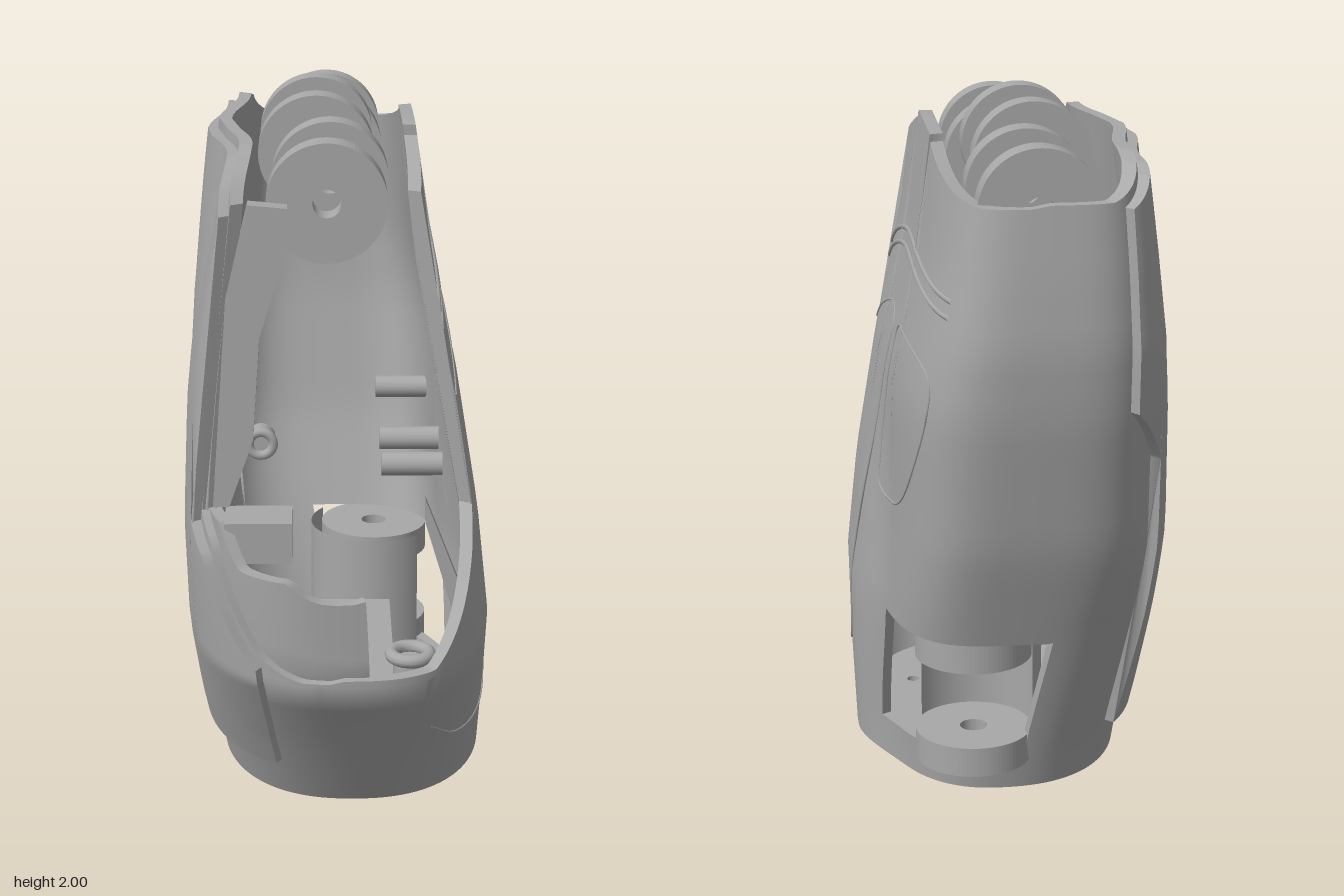
import * as THREE from 'three';
import { toCreasedNormals } from 'three/addons/utils/BufferGeometryUtils.js';

const { smoothstep, lerp, clamp, degToRad } = THREE.MathUtils;
const grey = new THREE.MeshStandardMaterial({ color: 0xa8a8a8, side: THREE.DoubleSide });
grey.name = 'plain grey';

// Hand outline by height: y, back of hand x, palm x, rear z, front z
const OUTLINE = [
  [0, -0.35, 0.44, -0.53, 0.54], [0.25, -0.39, 0.45, -0.59, 0.69],
  [0.5, -0.415, 0.452, -0.66, 0.855], [0.8, -0.425, 0.42, -0.76, 0.87],
  [1.2, -0.41, 0.355, -0.84, 0.86], [1.4, -0.395, 0.31, -0.86, 0.86],
  [1.6, -0.37, 0.27, -0.85, 0.86], [1.95, -0.325, 0.225, -0.82, 0.86],
];

// Piecewise linear lookup in [key, value] pairs with rising keys
function lookup(pairs, k, col = 1) {
  if (k <= pairs[0][0]) return pairs[0][col];
  for (let i = 1; i < pairs.length; i++) {
    const a = pairs[i - 1], b = pairs[i];
    if (k <= b[0]) return a[col] + (b[col] - a[col]) * (k - a[0]) / (b[0] - a[0]);
  }
  return pairs[pairs.length - 1][col];
}

function section(y) {
  const [xn, xp, zb, zf] = [1, 2, 3, 4].map(c => lookup(OUTLINE, y, c));
  return { cx: (xn + xp) / 2, hx: (xp - xn) / 2, cz: (zb + zf) / 2, hz: (zf - zb) / 2 };
}
// Squareness of the section: an ellipse at the wrist, boxier upwards and to the rear
const squareness = (y, v) => lerp(2.3, v < 0 ? 3.9 : 2.8, smoothstep(y, 0, 0.8));

// Surface point from unit section coordinates u (x) and v (z), offset o outwards
function place(u, v, y, o) {
  const s = section(y);
  const z = s.cz + (s.hz + o) * v;
  const hollow = u > 0 ? 1 - 0.16 * smoothstep(-z, 0.02, 0.36) * (1 - smoothstep(y, 0.7, 1.35)) : 1;
  const knuckles = 0.05 * smoothstep(z, -0.15, 0.4) + 0.018 * Math.sin(z * 10);
  const ripple = u < 0 ? knuckles * smoothstep(y, 1.1, 1.9) * -u : 0;
  return new THREE.Vector3(s.cx + (s.hx + o) * u * hollow + ripple, y, z);
}
function skin(a, y, o) {
  const c = Math.cos(a), s = Math.sin(a), e = 2 / squareness(y, s);
  return place(Math.sign(c) * Math.abs(c) ** e, Math.sign(s) * Math.abs(s) ** e, y, o);
}
function palmPoint(z, y) {
  const s = section(y), v = clamp((z - s.cz) / s.hz, -1, 1), n = squareness(y, v);
  return place((1 - Math.abs(v) ** n) ** (1 / n), v, y, 0);
}
// Angle of the column at depth z near the finger roots; side is 1 palm, -1 back
function angleAt(z, side) {
  const s = section(1.7), v = (z - s.cz) / s.hz;
  const a = Math.asin(Math.sign(v) * Math.abs(v) ** (squareness(1.7, v) / 2));
  return ((side > 0 ? a : Math.PI - a) + Math.PI * 2) % (Math.PI * 2);
}

// Upper edge of the shell: thumb opening, finger plates and slots
function rim(a) {
  const z = skin(a, 1.7, 0).z;
  if (Math.cos(a) > 0) {
    if (z > 0.41) return lookup([[0.41, 0.89], [0.78, 0.52]], z);
    if ((z > 0.03 && z < 0.065) || (z > -0.375 && z < -0.345)) return 1.54;
    return lookup([[-0.8, 1.79], [-0.38, 1.89], [-0.34, 1.91], [0.02, 1.92], [0.07, 1.89], [0.41, 1.8]], z);
  }
  if (z > 0.49) return lookup([[0.49, 0.9], [0.62, 0.84], [0.72, 0.7], [0.8, 0.57], [0.85, 0.51]], z);
  return lookup([[-0.82, 1.8], [-0.7, 1.88], [-0.6, 1.9], [0.25, 1.9], [0.4, 1.84], [0.49, 1.78]], z);
}

const SLOT_EDGES = [[0.41, 1], [0.065, 1], [0.03, 1], [-0.345, 1], [-0.375, 1], [0.49, -1]];
const CUT = [degToRad(265), degToRad(338)];

// Column angles from a to b, doubled where the edge steps
function columns(a, b, count, steps = []) {
  const list = Array.from({ length: count + 1 }, (_, i) => a + (b - a) * i / count);
  steps.forEach(t => { if (t > a && t < b) list.push(t - 0.0008, t + 0.0008); });
  return list.sort((p, q) => p - q);
}
const heightsBetween = (y0, y1, n) => Array.from({ length: n + 1 }, (_, k) => y0 + (y1 - y0) * k / n);

// Thick wall from a grid of columns and heights, with closed edges around gaps
function wall(angles, heights, outer, inner, isGap = () => false, closed = false) {
  const grid = angles.map(a => heights(a).map(y => [skin(a, y, outer), skin(a, y, inner)]));
  const nc = angles.length - 1, nr = grid[0].length - 1, pos = [];
  const quad = (...p) => [0, 1, 2, 0, 2, 3].forEach(k => pos.push(p[k].x, p[k].y, p[k].z));
  const alive = (i, j) => {
    if (closed) i = (i + nc) % nc;
    if (i < 0 || i >= nc || j < 0 || j >= nr) return false;
    return !isGap((angles[i] + angles[i + 1]) / 2, (grid[i][j][0].y + grid[i][j + 1][0].y) / 2);
  };
  for (let i = 0; i < nc; i++) for (let j = 0; j < nr; j++) {
    if (!alive(i, j)) continue;
    const c = [grid[i + 1][j], grid[i][j], grid[i][j + 1], grid[i + 1][j + 1]];
    quad(...c.map(p => p[0]));
    quad(c[3][1], c[2][1], c[1][1], c[0][1]);
    [[i, j - 1], [i - 1, j], [i, j + 1], [i + 1, j]].forEach(([m, n], k) => {
      const a = c[k], b = c[(k + 1) % 4];
      if (!alive(m, n)) quad(b[0], a[0], a[1], b[1]);
    });
  }
  const g = new THREE.BufferGeometry();
  g.setAttribute('position', new THREE.Float32BufferAttribute(pos, 3));
  return toCreasedNormals(g, 0.6);
}

export function createModel() {
  const model = new THREE.Group();
  const add = (name, geo, x = 0, y = 0, z = 0) => {
    const m = new THREE.Mesh(geo, grey);
    m.name = name;
    m.position.set(x, y, z);
    model.add(m);
    return m;
  };
  const polygon = (pts) => new THREE.Shape(pts.map(p => new THREE.Vector2(...p)));
  const plate = (shape, depth) => new THREE.ExtrudeGeometry(shape, { depth, bevelEnabled: false, curveSegments: 24 });
  const circle = (x, y, r) => new THREE.Path().absarc(x, y, r, 0, Math.PI * 2, true);

  // Palm shell
  const steps = SLOT_EDGES.map(([z, s]) => angleAt(z, s));
  const shellRows = (a) => [0, 0.06, 0.12, 0.2, 0.3, 0.4, ...heightsBetween(0.5, rim(a), 20)];
  add('palmShell', wall(columns(0, Math.PI * 2, 144, [...steps, ...CUT]), shellRows, 0, -0.038,
    (a, y) => a > CUT[0] && a < CUT[1] && y > 0.12 && y < 0.5, true));

  // Raised cover on the back of the hand
  const coverStep = angleAt(-0.7, -1);
  const coverRows = (a) => {
    const base = a < coverStep ? 0.15 : lookup([[-0.8, 1.22], [-0.7, 1.05]], skin(a, 1.7, 0).z);
    return heightsBetween(base, rim(a) - 0.03, 22);
  };
  add('backCover', wall(columns(angleAt(0.8, -1), angleAt(-0.8, -1), 60, [...steps, coverStep]), coverRows, 0.03, -0.01));

  // Thumb insert lining the front lip
  const insertRows = (a) => heightsBetween(0.4, lookup([[0.62, 0.9], [0.74, 0.8], [0.845, 0.8], [0.86, 0.74]], skin(a, 1.7, 0).z), 6);
  add('thumbInsert', wall(columns(Math.PI * 0.47, angleAt(0.5, -1), 24), insertRows, -0.025, -0.06));

  // Seams and ridges on the palm, drawn in z and y and laid on the surface
  const seam = (name, pts, r, closed = false) => {
    const flat = new THREE.CatmullRomCurve3(pts.map(([z, y]) => new THREE.Vector3(0, y, z)), closed);
    const laid = flat.getPoints(60).slice(0, closed ? 60 : 61).map(p => palmPoint(p.z, p.y));
    add(name, new THREE.TubeGeometry(new THREE.CatmullRomCurve3(laid, closed), 120, r, 6, closed));
  };
  const knuckles = [[0.4, 1.45], [0.2, 1.53], [-0.1, 1.59], [-0.4, 1.58], [-0.76, 1.53]];
  [0, -0.045].forEach(d => seam('knuckleRidge', knuckles.map(([z, y]) => [z, y + d]), 0.008));
  seam('thumbPadSeam', [[0.4, 1.21], [0.2, 1.3], [-0.1, 1.37], [-0.18, 1.34], [-0.17, 1.2], [0, 0.5],
    [0.08, 0.27], [0.25, 0.2], [0.5, 0.2], [0.64, 0.28]], 0.004);
  seam('sidePadSeam', [[-0.3, 1.35], [-0.4, 1.36], [-0.71, 1.31], [-0.72, 1.2], [-0.55, 0.93], [-0.4, 0.85],
    [-0.22, 0.85], [-0.21, 0.95], [-0.27, 1.25]], 0.004, true);

  // Pulley wheels with centre holes
  const disc = new THREE.Shape().absarc(0, 0, 0.17, 0, Math.PI * 2, false);
  disc.holes.push(circle(0, 0, 0.04));
  const wheel = new THREE.ExtrudeGeometry(disc, { depth: 0.088, bevelEnabled: false, curveSegments: 40 });
  [[-0.03, 1.77, 0.345], [-0.02, 1.77, 0.035], [-0.06, 1.83, -0.053], [-0.06, 1.83, -0.362],
    [-0.03, 1.77, -0.452], [-0.03, 1.77, -0.763]].forEach(p => add('fingerWheel', wheel, ...p));
  [0.5, 0.182].forEach(y => { add('sideWheel', wheel, 0.125, y, -0.48).rotation.x = Math.PI / 2; });

  // Pocket wall on the inner side of the side wheels
  add('wheelPocket', new THREE.CylinderGeometry(0.2, 0.2, 0.42, 24, 1, true, -Math.PI * 0.7, Math.PI * 0.95), 0.12, 0.31, -0.42);

  // Base plate with holes and a centre hub
  const ring = Array.from({ length: 64 }, (_, i) => skin(i / 64 * Math.PI * 2, 0.02, -0.03));
  const floor = polygon(ring.map(p => [p.x, p.z]));
  [[0.045, 0, 0.13], [-0.18, 0.2, 0.02], [0.25, 0.2, 0.02], [-0.18, -0.2, 0.02], [0.2, -0.2, 0.02],
    [0.04, 0.27, 0.025], [0.06, -0.25, 0.025]].forEach(h => floor.holes.push(circle(...h)));
  add('basePlate', plate(floor, 0.03).rotateX(Math.PI / 2), 0, 0.05, 0);
  add('baseHub', new THREE.CylinderGeometry(0.12, 0.12, 0.06, 32), 0.045, 0.06, 0);

  // Inner tray, pegs and screw boss
  add('innerTray', new THREE.BoxGeometry(0.36, 0.03, 0.62), -0.01, 0.32, 0.12);
  [-0.54, -0.01, 0.23].forEach(z => add('wallPeg', new THREE.CylinderGeometry(0.035, 0.035, 0.18, 20).rotateZ(Math.PI / 2), 0.22, 0.94, z));
  add('screwBoss', new THREE.TorusGeometry(0.035, 0.014, 10, 24), -0.22, 1.06, 0.4);
  add('screwBossStem', new THREE.CylinderGeometry(0.04, 0.04, 0.06, 20).rotateX(Math.PI / 2), -0.22, 1.06, 0.36);
  add('screwBossArm', new THREE.BoxGeometry(0.16, 0.05, 0.05), -0.31, 1.06, 0.36);

  // Flange along the front edge of the back wall
  add('frontFlange', plate(polygon([[-0.37, 0.9], [-0.34, 1.4], [-0.25, 1.78], [-0.14, 1.77], [-0.15, 1.62],
    [-0.22, 1.4], [-0.24, 1.1], [-0.31, 0.9]]), 0.06), 0, 0, 0.43);

  // Thumb bracket: ledge, fin, collar and post
  add('thumbLedge', new THREE.BoxGeometry(0.19, 0.12, 0.15), -0.225, 0.84, 0.555);
  add('thumbFin', plate(polygon([[0.25, 0.93], [0.25, 0.86], [0.34, 0.56], [0.37, 0.62]]), 0.04), 0, 0, 0.48);
  add('thumbCollar', new THREE.TorusGeometry(0.055, 0.02, 10, 28).rotateX(Math.PI / 2), 0.21, 0.46, 0.53);
  add('thumbPost', new THREE.CylinderGeometry(0.05, 0.05, 0.2, 24), 0.21, 0.35, 0.53);
  return model;
}
